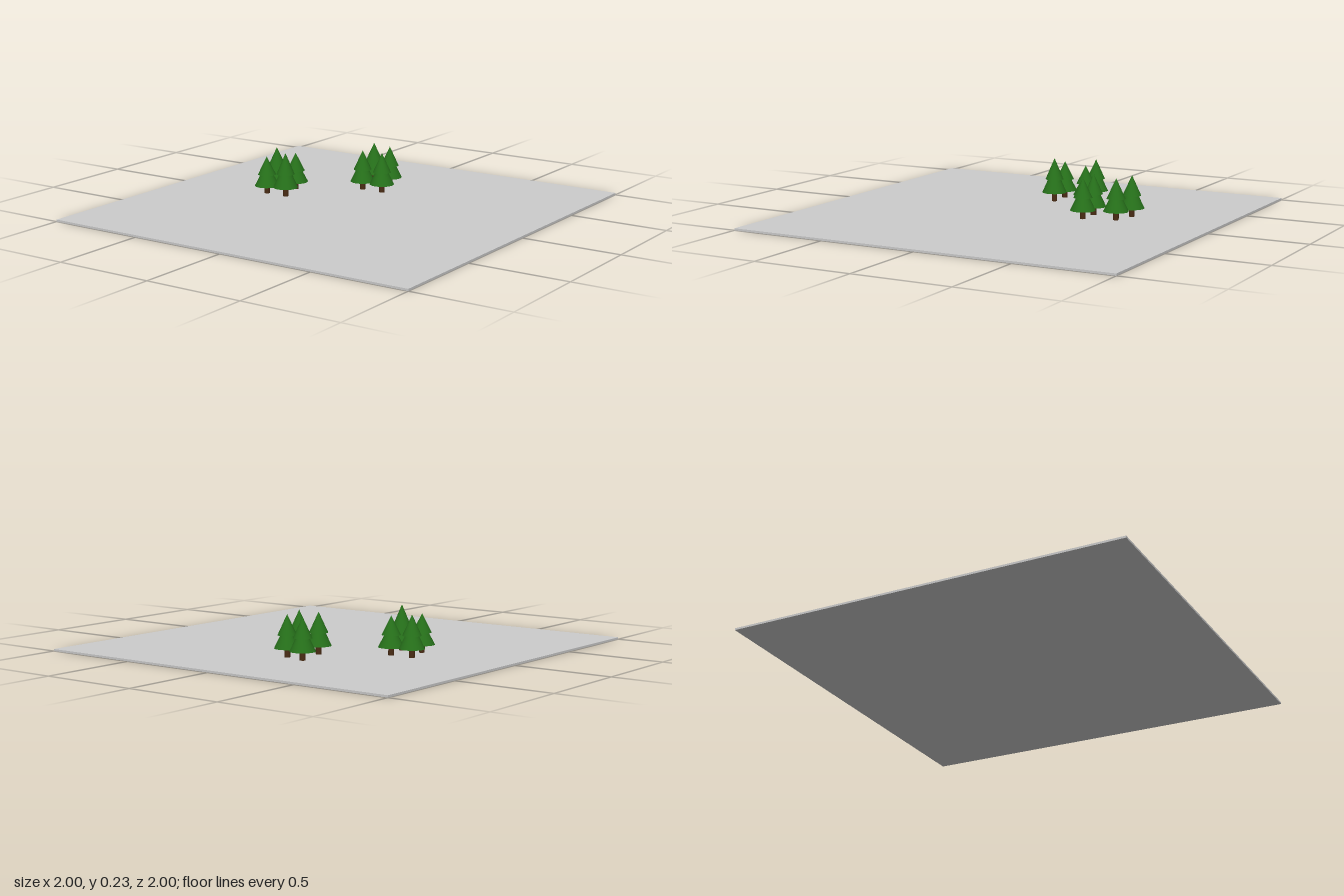
import * as THREE from 'three';

const GROUND = 0.01;

export function createModel() {
  const model = new THREE.Group();
  model.name = 'groundWithTrees';

  const groundMat = new THREE.MeshStandardMaterial({ color: 0xcccccc });
  const barkMat = new THREE.MeshStandardMaterial({ color: 0x4a2c14 });
  const leafMat = new THREE.MeshStandardMaterial({ color: 0x26701a });

  function addMesh(parent, name, geometry, material, y) {
    const mesh = new THREE.Mesh(geometry, material);
    mesh.name = name;
    mesh.position.y = y;
    parent.add(mesh);
  }

  // Thin square ground slab
  addMesh(model, 'ground', new THREE.BoxGeometry(2, GROUND, 2), groundMat, GROUND / 2);

  // Shared tree parts, measured from the ground surface
  const trunk = new THREE.CylinderGeometry(0.014, 0.014, 0.06, 16);
  const lowerCone = new THREE.ConeGeometry(0.0625, 0.13, 32);
  const upperCone = new THREE.ConeGeometry(0.046, 0.1, 32);

  function makeTree(x, z, height) {
    const tree = new THREE.Group();
    tree.name = 'tree';
    addMesh(tree, 'trunk', trunk, barkMat, 0.03);
    addMesh(tree, 'lowerFoliage', lowerCone, leafMat, 0.107);
    addMesh(tree, 'upperFoliage', upperCone, leafMat, 0.155);
    tree.position.set(x, GROUND, z);
    tree.scale.y = height / 0.205;
    return tree;
  }

  // Two clumps of four trees: x, z, height
  const clumps = {
    leftClump: [[-0.53, -0.155, 0.205], [-0.41, -0.155, 0.19], [-0.48, 0, 0.19], [-0.362, 0, 0.223]],
    backClump: [[-0.17, -0.527, 0.205], [-0.053, -0.497, 0.205], [-0.12, -0.343, 0.205], [-0.002, -0.343, 0.205]],
  };
  for (const [name, trees] of Object.entries(clumps)) {
    const clump = new THREE.Group();
    clump.name = name;
    for (const [x, z, height] of trees) clump.add(makeTree(x, z, height));
    model.add(clump);
  }
  return model;
}
